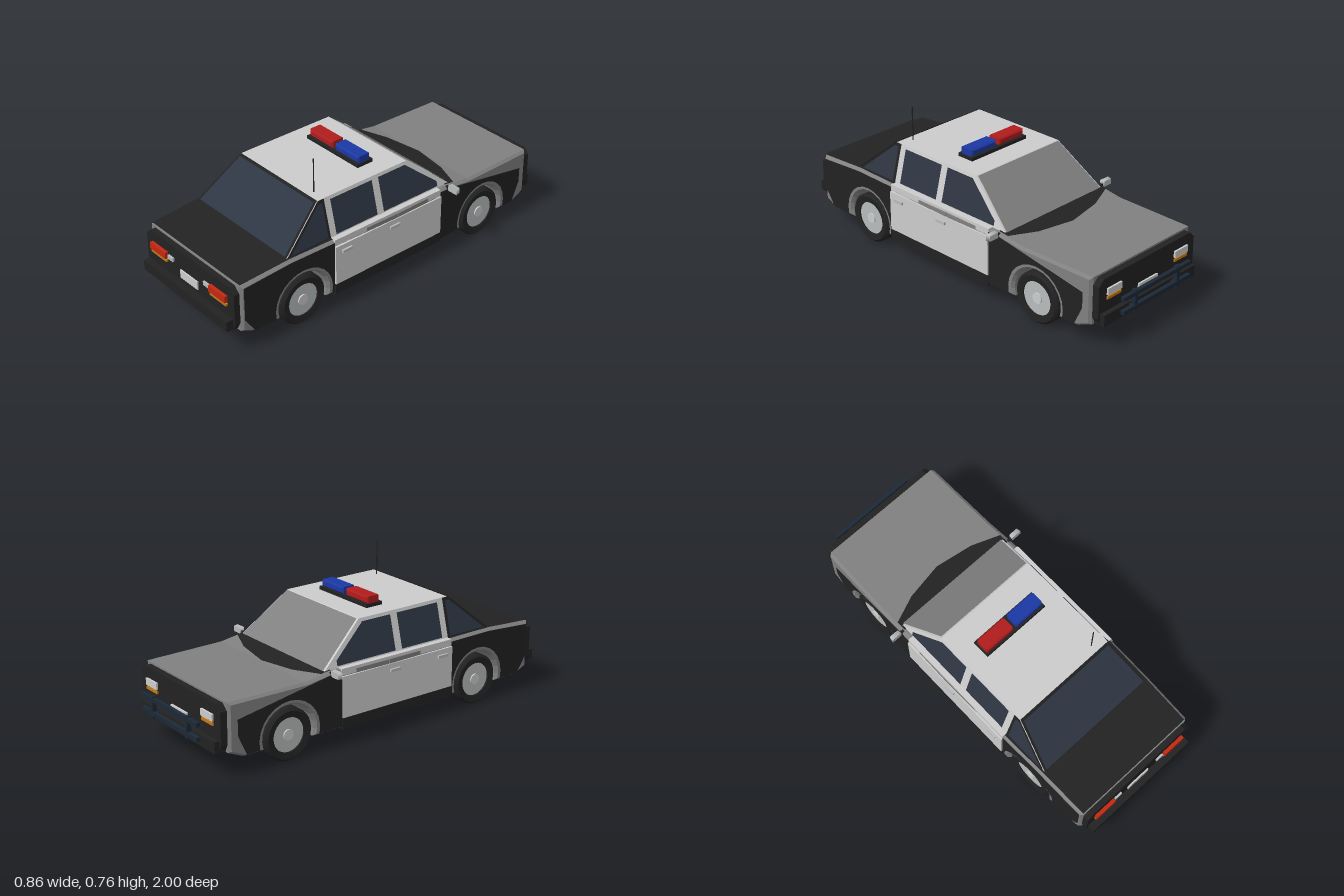
import * as THREE from 'three';

const mat = (name, color) => {
  const m = new THREE.MeshStandardMaterial({ color, side: THREE.DoubleSide });
  m.name = name;
  return m;
};

export function createModel() {
  const car = new THREE.Group();
  car.name = 'patrolCar';
  const black = mat('black', 0x222222), gray = mat('gray', 0x808080), white = mat('white', 0xcccccc);
  const glass = mat('glass', 0x2e3643), red = mat('red', 0xb01c1c), blue = mat('blue', 0x1c38a4);
  const lampRed = mat('lampRed', 0xc42810), amber = mat('amber', 0xc07a18);
  const silver = mat('silver', 0xb8bcbc), navy = mat('navy', 0x1c2836);

  const add = (name, geo, m, parent = car) => {
    const mesh = new THREE.Mesh(geo, m);
    mesh.name = name;
    parent.add(mesh);
    return mesh;
  };
  // box given by its limits
  const box = (name, m, x0, x1, y0, y1, z0, z1) => add(name,
    new THREE.BoxGeometry(x1 - x0, y1 - y0, z1 - z0).translate((x0 + x1) / 2, (y0 + y1) / 2, (z0 + z1) / 2), m);
  const pair = (name, m, x0, x1, ...r) => {
    box(name + 'Left', m, x0, x1, ...r);
    box(name + 'Right', m, -x1, -x0, ...r);
  };
  const shapeOf = pts => new THREE.Shape(pts.map(p => new THREE.Vector2(p[0], p[1])));
  // arc over a wheel, listed from angle a to angle b
  const arch = (cz, r, low, toRear) => {
    const s = Math.asin((0.135 - low) / r), out = [];
    for (let i = 0; i <= 14; i++) {
      const t = i / 14, a = -s + (Math.PI + 2 * s) * (toRear ? 1 - t : t);
      out.push([cz + r * Math.cos(a), 0.135 + r * Math.sin(a)]);
    }
    return out;
  };
  // thin face: outline in 2D, placed by a rule
  const patch = (name, pts, m, place) => {
    const g = new THREE.ShapeGeometry(shapeOf(pts)), p = g.attributes.position;
    for (let i = 0; i < p.count; i++) p.setXYZ(i, ...place(p.getX(i), p.getY(i)));
    g.computeVertexNormals();
    return add(name, g, m);
  };
  const flipped = mesh => {
    const a = mesh.geometry.index.array;
    for (let i = 0; i < a.length; i += 3) [a[i], a[i + 1]] = [a[i + 1], a[i]];
    mesh.geometry.computeVertexNormals();
  };
  // outline in (z, y), laid on both sides at x = rule(z, y)
  const sides = (name, pts, m, rule) => {
    flipped(patch(name + 'Left', pts, m, (z, y) => [rule(z, y), y, z]));
    patch(name + 'Right', pts, m, (z, y) => [-rule(z, y), y, z]);
  };

  // lower body: two halves narrowing towards the ends, arches cut right through
  const WZ = 0.575, HALF = 0.37;
  const taper = z => 1 - 0.055 * Math.abs(z);
  const hull = (name, pts) => {
    const b = 0.015;
    const g = new THREE.ExtrudeGeometry(shapeOf(pts), {
      depth: 2 * (HALF - b), bevelThickness: b, bevelSize: 0.012, bevelOffset: -0.012, bevelSegments: 1,
    }).translate(0, 0, b - HALF).rotateY(-Math.PI / 2);
    const p = g.attributes.position;
    for (let i = 0; i < p.count; i++) p.setX(i, p.getX(i) * taper(p.getZ(i)));
    g.computeVertexNormals();
    add(name, g, gray);
  };
  hull('rearBody', [[-0.01, 0.09], ...arch(WZ, 0.142, 0.09, true), [0.86, 0.09], [0.93, 0.12],
    [0.93, 0.365], [0.65, 0.385], [-0.01, 0.385]]);
  hull('frontBody', [[0.01, 0.09], [0.01, 0.385], [-0.34, 0.385], [-0.48, 0.366], [-0.9, 0.366],
    [-0.9, 0.125], [-0.82, 0.09], ...arch(-WZ, 0.142, 0.09, true)]);

  // painted fenders, trunk lid and cowl
  const sideX = z => HALF * taper(z) + 0.003;
  sides('rearFender', [[0.395, 0.1], ...arch(WZ, 0.168, 0.1, true), [0.86, 0.1], [0.915, 0.18],
    [0.915, 0.353], [0.65, 0.374], [0.395, 0.374]], black, sideX);
  sides('frontFender', [[-0.28, 0.1], [-0.28, 0.374], [-0.35, 0.372], [-0.855, 0.28], [-0.855, 0.2],
    [-0.81, 0.1], ...arch(-WZ, 0.168, 0.1, true)], black, sideX);
  patch('trunkLid', [[-0.338, -0.925], [0.338, -0.925], [0.345, -0.65], [-0.345, -0.65]], black,
    (x, v) => [x, 0.3885 - 0.02 * (-v - 0.65) / 0.28, -v]);
  patch('rearDeck', [[-0.345, -0.65], [0.345, -0.65], [0.352, -0.395], [-0.352, -0.395]], black,
    (x, v) => [x, 0.3885, -v]);
  patch('cowl', [[-0.345, 0.33], [0.345, 0.33], [0.345, 0.385], [0.2, 0.445], [0, 0.48], [-0.2, 0.445], [-0.345, 0.385]],
    black, (x, v) => [x, 0.389 - 0.019 * Math.max(0, v - 0.34) / 0.14, -v]);

  // doors, sills and floor
  pair('doors', white, 0.34, 0.374, 0.145, 0.352, -0.28, 0.395);
  pair('doorBelt', white, 0.32, 0.366, 0.355, 0.388, -0.28, 0.395);
  pair('sill', black, 0.34, 0.371, 0.088, 0.143, -0.28, 0.395);
  box('floor', black, -0.345, 0.345, 0.084, 0.094, -0.38, 0.41);
  for (const z of [0.3, 0]) pair('doorHandle', silver, 0.37, 0.384, 0.311, 0.326, z, z + 0.06);

  // cabin: a box drawn in at the top
  const Y0 = 0.38, Y1 = 0.58;
  const cabin = new THREE.BoxGeometry(2, 1, 2), cp = cabin.attributes.position;
  const cabX = y => 0.338 - 0.053 * (y - Y0) / (Y1 - Y0);
  const rearZ = y => 0.665 - 0.235 * (y - Y0) / (Y1 - Y0);
  const frontZ = y => -0.365 + 0.245 * (y - Y0) / (Y1 - Y0);
  for (let i = 0; i < cp.count; i++) {
    const y = cp.getY(i) > 0 ? Y1 : Y0;
    cp.setXYZ(i, Math.sign(cp.getX(i)) * cabX(y), y, cp.getZ(i) > 0 ? rearZ(y) : frontZ(y));
  }
  cabin.computeVertexNormals();
  add('cabin', cabin, white);

  // windows
  const screen = (inset, low, high) => [[-cabX(low) + inset, low], [cabX(low) - inset, low],
    [cabX(high) - inset, high], [-cabX(high) + inset, high]];
  patch('rearScreenFrame', screen(0, Y0, Y1), black, (x, y) => [x, y + 0.002, rearZ(y) + 0.002]);
  patch('rearScreen', screen(0.012, 0.39, 0.57), glass, (x, y) => [x, y + 0.004, rearZ(y) + 0.004]);
  flipped(patch('windshield', screen(0.008, 0.384, 0.577), gray, (x, y) => [x, y + 0.003, frontZ(y) - 0.003]));
  const cab1 = (z, y) => cabX(y) + 0.003, cab2 = (z, y) => cabX(y) + 0.006;
  sides('quarterFrame', [[0.395, Y0], [0.665, Y0], [0.43, Y1], [0.395, Y1]], black, cab1);
  sides('quarterGlass', [[0.41, 0.395], [0.63, 0.395], [0.435, 0.565], [0.41, 0.565]], glass, cab2);
  sides('rearDoorGlass', [[0.105, 0.395], [0.36, 0.395], [0.36, 0.565], [0.105, 0.565]], glass, cab1);
  sides('frontDoorGlass', [[-0.285, 0.395], [0.065, 0.395], [0.065, 0.565], [-0.105, 0.565], [-0.285, 0.42]], glass, cab1);

  // wheels
  const tyre = new THREE.LatheGeometry([[0.086, -0.04], [0.118, -0.046], [0.13, -0.034], [0.13, 0.034],
    [0.118, 0.046], [0.086, 0.04], [0.086, -0.04]].map(p => new THREE.Vector2(...p)), 28).toNonIndexed().rotateZ(Math.PI / 2);
  tyre.computeVertexNormals();
  const disc = (r, h) => new THREE.CylinderGeometry(r, r, h, 24).rotateZ(Math.PI / 2);
  for (const x of [-0.311, 0.311]) for (const z of [-WZ, WZ]) {
    const wheel = new THREE.Group();
    wheel.name = 'wheel';
    wheel.position.set(x, 0.131, z);
    add('tyre', tyre, black, wheel);
    add('rim', disc(0.087, 0.066), silver, wheel);
    add('hubCap', disc(0.027, 0.08), white, wheel);
    car.add(wheel);
  }

  // end panels
  const octagon = shapeOf([[-0.318, 0.127], [0.318, 0.127], [0.338, 0.165], [0.338, 0.327], [0.308, 0.357],
    [-0.308, 0.357], [-0.338, 0.327], [-0.338, 0.165]]);
  const panel = d => new THREE.ExtrudeGeometry(octagon, { depth: d, bevelEnabled: false });
  add('rearPanel', panel(0.035), black).position.z = 0.925;
  add('frontPanel', panel(0.04), black).position.z = -0.935;

  // rear lamps, plate, bumper and exhaust
  pair('tailLamp', lampRed, 0.168, 0.291, 0.27, 0.304, 0.95, 0.978);
  pair('rearIndicator', amber, 0.168, 0.291, 0.25, 0.263, 0.95, 0.972);
  pair('reverseLamp', silver, 0.118, 0.16, 0.275, 0.295, 0.95, 0.97);
  box('rearPlate', white, -0.067, 0.067, 0.216, 0.26, 0.955, 0.967);
  box('rearBumper', black, -0.325, 0.325, 0.14, 0.192, 0.93, 0.998);
  add('exhaust', new THREE.CylinderGeometry(0.013, 0.013, 0.12, 10).rotateX(Math.PI / 2).translate(0.175, 0.143, 0.92), silver);

  // front lamps, plate and bumper
  pair('headLamp', white, 0.19, 0.285, 0.27, 0.304, -0.945, -0.93);
  pair('frontIndicator', amber, 0.19, 0.285, 0.248, 0.262, -0.942, -0.93);
  box('frontPlate', white, -0.067, 0.067, 0.2, 0.24, -0.944, -0.93);
  box('frontBumper', black, -0.325, 0.325, 0.13, 0.188, -0.96, -0.89);

  // push bar
  for (const y of [0.17, 0.24]) box('pushBarRail', navy, -0.24, 0.24, y, y + 0.02, -1, -0.98);
  pair('pushBarPost', navy, 0.14, 0.16, 0.155, 0.265, -0.998, -0.976);
  pair('pushBarArm', navy, 0.143, 0.157, 0.163, 0.18, -0.98, -0.93);

  // mirrors
  pair('mirrorArm', black, 0.33, 0.38, 0.372, 0.384, -0.342, -0.328);
  const mirror = new THREE.CylinderGeometry(0.027, 0.031, 0.024, 4, 1).rotateY(Math.PI / 4).rotateX(-Math.PI / 2).scale(1.3, 0.75, 1);
  for (const s of [-1, 1]) add('mirror', mirror, silver).position.set(s * 0.4, 0.384, -0.338);

  // roof light bar and aerial
  box('lightBarBase', black, -0.187, 0.187, 0.578, 0.597, 0.005, 0.1);
  const lens = new THREE.ExtrudeGeometry(shapeOf([[-0.078, 0.006], [0.078, 0.006], [0.078, 0.028], [-0.078, 0.028]]),
    { depth: 0.06, bevelThickness: 0.008, bevelSize: 0.007, bevelSegments: 1 });
  add('redBeacon', lens, red).position.set(-0.095, 0.597, 0.023);
  add('blueBeacon', lens, blue).position.set(0.095, 0.597, 0.023);
  add('aerial', new THREE.CylinderGeometry(0.003, 0.003, 0.18, 6).translate(0.214, 0.667, 0.392), black);

  return car;
}
